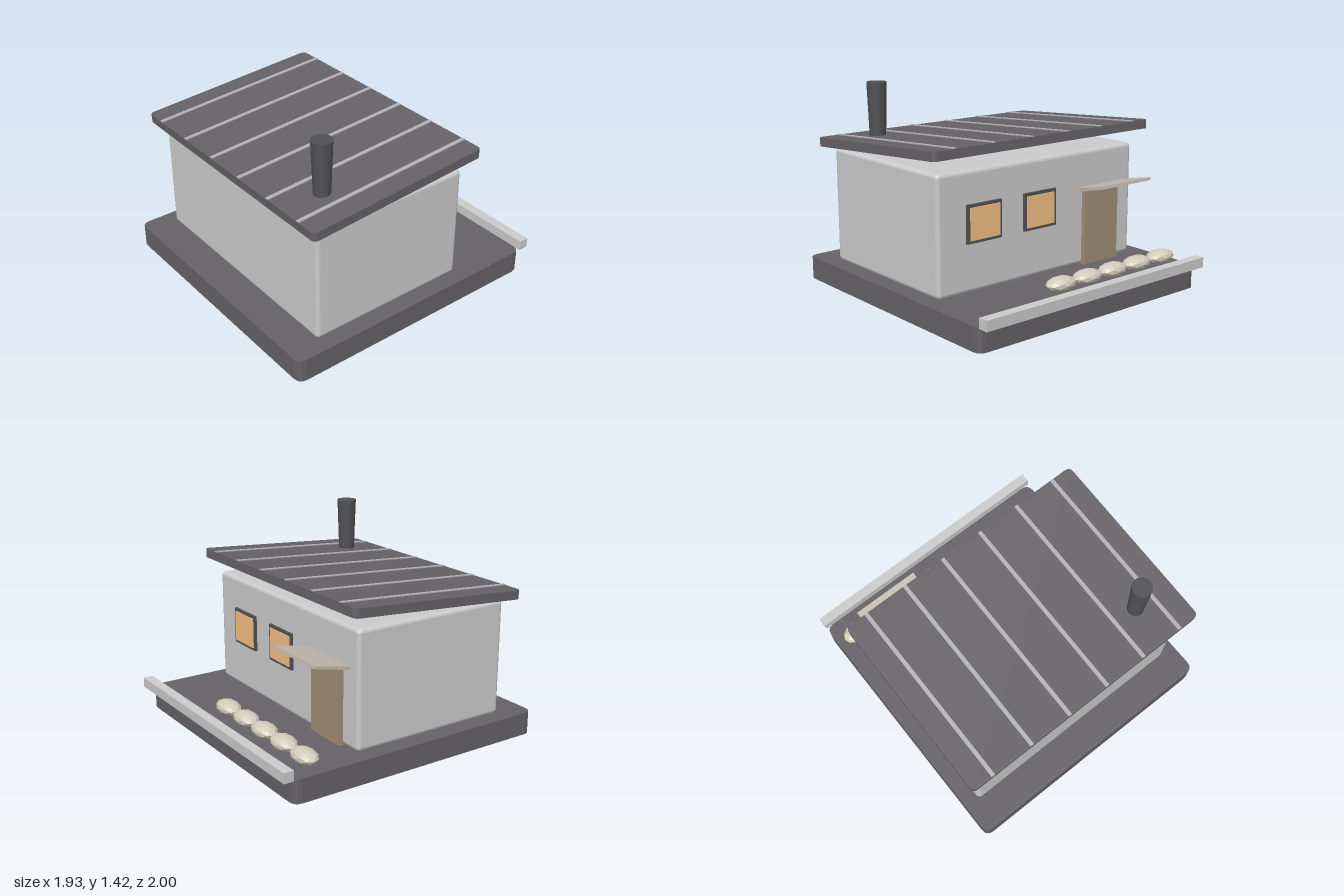
import * as THREE from 'three';
import { RoundedBoxGeometry } from 'three/addons/geometries/RoundedBoxGeometry.js';

const mat = (color, flatShading = false) =>
  new THREE.MeshStandardMaterial({ color, flatShading });

const grey = mat(0xcccccc);
const slate = mat(0x656267);
const dark = mat(0x525154);
const metal = mat(0xb2b1ba);
const amber = mat(0xf4c084);
const wood = mat(0xa08e74);
const canopyTone = mat(0xbfb8ad);
const shrub = mat(0xd2ccba, true);

function add(parent, name, geometry, material, x = 0, y = 0, z = 0) {
  const mesh = new THREE.Mesh(geometry, material);
  mesh.name = name;
  mesh.position.set(x, y, z);
  parent.add(mesh);
  return mesh;
}

// Flat slab with rounded vertical corners, centred on its origin
function slab(w, h, d, r) {
  const x = w / 2, y = d / 2;
  const s = new THREE.Shape();
  s.moveTo(-x + r, -y);
  s.lineTo(x - r, -y);
  s.quadraticCurveTo(x, -y, x, -y + r);
  s.lineTo(x, y - r);
  s.quadraticCurveTo(x, y, x - r, y);
  s.lineTo(-x + r, y);
  s.quadraticCurveTo(-x, y, -x, y - r);
  s.lineTo(-x, -y + r);
  s.quadraticCurveTo(-x, -y, -x + r, -y);
  const g = new THREE.ExtrudeGeometry(s, { depth: h, bevelEnabled: false, curveSegments: 3 });
  return g.rotateX(-Math.PI / 2).translate(0, -h / 2, 0);
}

export function createModel() {
  const model = new THREE.Group();
  model.name = 'cabin';
  const box = (w, h, d) => new THREE.BoxGeometry(w, h, d);

  // Ground plinth and the kerb along its back edge
  add(model, 'plinth', slab(1.93, 0.16, 1.93, 0.06), slate, 0, 0.08, 0.035);
  add(model, 'kerb', box(1.93, 0.07, 0.07), grey, 0, 0.195, -0.965);

  // House body
  add(model, 'walls', new RoundedBoxGeometry(1.72, 0.805, 1.175, 2, 0.03), grey, 0, 0.5625, 0.1925);

  // Sloping roof with raised seams
  const roof = new THREE.Group();
  roof.name = 'roof';
  roof.position.set(0, 1.053, 0.19);
  roof.rotation.x = 0.071;
  add(roof, 'roofPanel', slab(1.88, 0.062, 1.34, 0.035), slate);
  for (let i = 0; i < 6; i++) {
    add(roof, 'roofSeam', box(0.027, 0.014, 1.338), metal, -0.78 + i * 0.312, 0.03, 0);
  }
  model.add(roof);

  // Chimney, wider at the top
  add(model, 'chimney', new THREE.CylinderGeometry(0.069, 0.053, 0.46, 20), dark, 0.64, 1.195, 0.57);

  // Back windows
  for (const x of [0.495, 0.02]) {
    add(model, 'windowFrame', box(0.28, 0.255, 0.03), dark, x, 0.617, -0.397);
    add(model, 'windowPane', box(0.24, 0.215, 0.03), amber, x, 0.617, -0.404);
  }

  // Back door and its tilted canopy
  add(model, 'door', box(0.32, 0.52, 0.05), wood, -0.54, 0.42, -0.402);
  const canopy = add(model, 'canopy', box(0.48, 0.02, 0.27), canopyTone, -0.54, 0.728, -0.528);
  canopy.rotation.x = 0.21;

  // Row of low shrubs
  const shrubShape = new THREE.IcosahedronGeometry(1, 1).scale(0.118, 0.048, 0.077);
  for (let i = 0; i < 5; i++) {
    add(model, 'shrub', shrubShape, shrub, -0.797 + i * 0.236, 0.217, -0.75);
  }

  return model;
}
